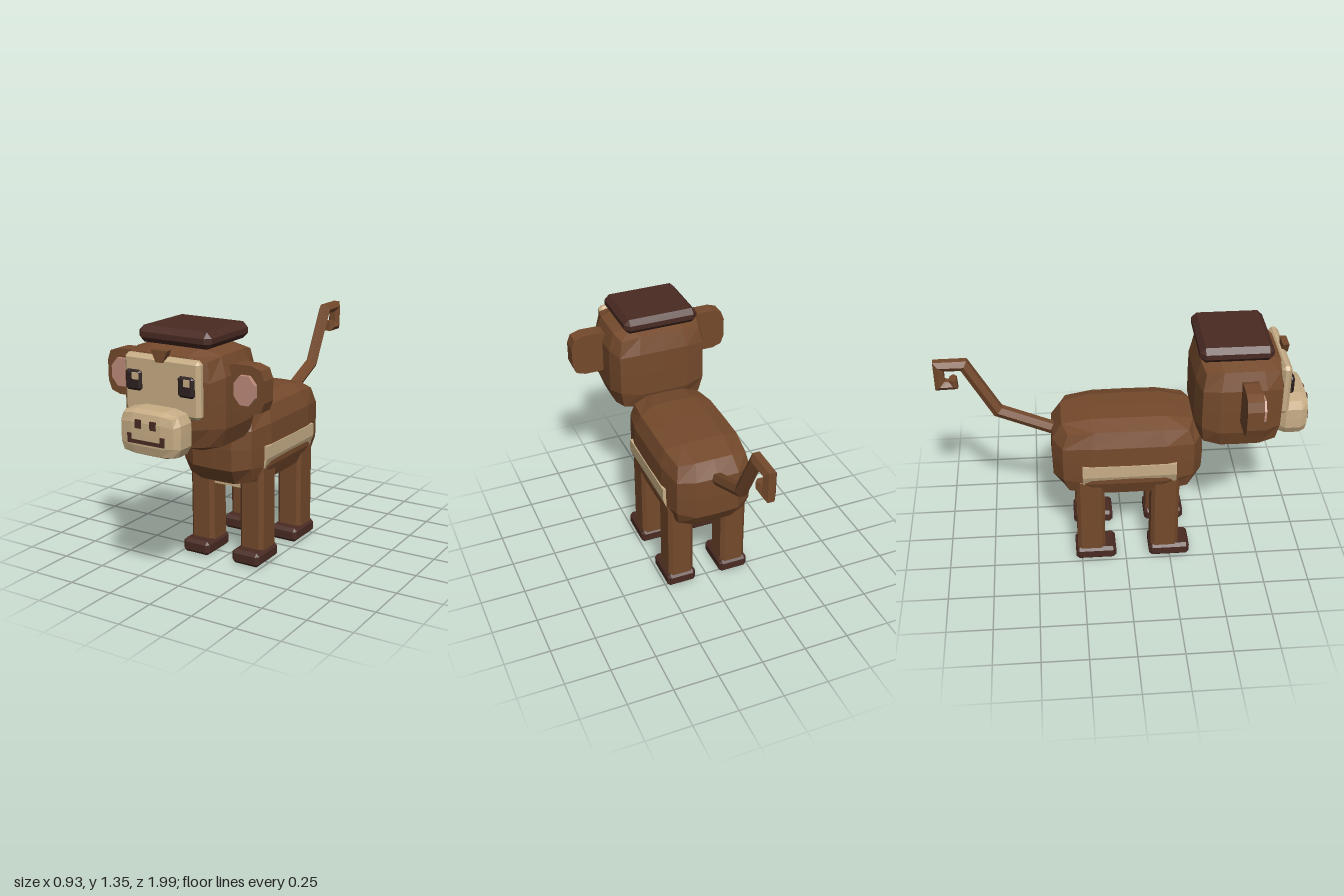
import * as THREE from 'three';
import { ConvexGeometry } from 'three/addons/geometries/ConvexGeometry.js';

const mat = (name, color) => {
  const m = new THREE.MeshStandardMaterial({ color });
  m.name = name;
  return m;
};

// Facet a geometry so every polygon is flat
function flat(geo) {
  const g = geo.index ? geo.toNonIndexed() : geo;
  g.computeVertexNormals();
  return g;
}

// Box inflated into a faceted superellipsoid with exponent k
function softBox(w, h, d, k) {
  const g = new THREE.BoxGeometry(2, 2, 2, 4, 4, 4);
  const p = g.attributes.position;
  for (let i = 0; i < p.count; i++) {
    const v = [p.getX(i), p.getY(i), p.getZ(i)];
    const n = Math.pow(v.reduce((s, c) => s + Math.abs(c) ** k, 0), 1 / k);
    p.setXYZ(i, v[0] / n * w / 2, v[1] / n * h / 2, v[2] / n * d / 2);
  }
  return flat(g);
}

// Box with all edges cut by c
function chamferBox(w, h, d, c) {
  const pts = [], [x, y, z] = [w / 2, h / 2, d / 2];
  for (const a of [-1, 1]) for (const b of [-1, 1]) for (const e of [-1, 1]) {
    pts.push(new THREE.Vector3(a * x, b * (y - c), e * (z - c)),
      new THREE.Vector3(a * (x - c), b * y, e * (z - c)),
      new THREE.Vector3(a * (x - c), b * (y - c), e * z));
  }
  return new ConvexGeometry(pts);
}

// Prism along z, centred on z = 0
function prism(points, depth) {
  const shape = new THREE.Shape(points.map(([x, y]) => new THREE.Vector2(x, y)));
  return new THREE.ExtrudeGeometry(shape, { depth, bevelEnabled: false }).translate(0, 0, -depth / 2);
}

// Six-sided mitred tube through [z, y, radius] points
function tailGeometry(path) {
  const pos = [], idx = [], n = 6;
  const dir = (a, b) => new THREE.Vector2(b[0] - a[0], b[1] - a[1]).normalize();
  path.forEach((p, i) => {
    const d1 = dir(path[Math.max(i - 1, 0)], path[Math.max(i, 1)]);
    const d2 = i < path.length - 1 ? dir(p, path[i + 1]) : d1;
    const t = d1.clone().add(d2).normalize();
    const miter = 1 / t.dot(d1);
    for (let j = 0; j < n; j++) {
      const a = j / n * Math.PI * 2, s = Math.sin(a) * p[2] * miter;
      pos.push(Math.cos(a) * 0.036, p[1] + t.x * s, p[0] - t.y * s);
    }
  });
  for (let i = 0; i < path.length - 1; i++) for (let j = 0; j < n; j++) {
    const a = i * n + j, b = i * n + (j + 1) % n;
    idx.push(a, a + n, b, b, a + n, b + n);
  }
  const e = (path.length - 1) * n;
  for (let j = 1; j < n - 1; j++) idx.push(0, j, j + 1, e, e + j + 1, e + j);
  const g = new THREE.BufferGeometry();
  g.setAttribute('position', new THREE.Float32BufferAttribute(pos, 3));
  // Orient faces outward: the ring order winds by the sign of the first face
  const va = new THREE.Vector3(...pos.slice(0, 3));
  const ab = new THREE.Vector3(...pos.slice(n * 3, n * 3 + 3)).sub(va);
  const ac = new THREE.Vector3(...pos.slice(3, 6)).sub(va);
  if (ab.cross(ac).x < 0) for (let i = 0; i < idx.length; i += 3) [idx[i], idx[i + 1]] = [idx[i + 1], idx[i]];
  // Caps are wound against the sides' convention only when seen from outside
  g.setIndex(idx);
  return flat(g);
}

export function createModel() {
  const group = new THREE.Group();
  const fur = mat('brown fur', 0x754a2c);
  const cream = mat('cream skin', 0xc8ae86);
  const dark = mat('dark brown', 0x4a2b23);
  const black = mat('eye black', 0x2e2020);
  const pink = mat('inner ear pink', 0xbe8c7b);

  const add = (name, geo, m, x = 0, y = 0, z = 0) => {
    const mesh = new THREE.Mesh(geo, m);
    mesh.name = name;
    mesh.position.set(x, y, z);
    group.add(mesh);
    return mesh;
  };

  // Torso and belly band
  add('body', softBox(0.49, 0.475, 0.83, 4.5), fur, 0, 0.667, 0.015);
  add('belly', prism([[-0.25, 0.67], [-0.25, 0.6], [-0.2, 0.46], [-0.1, 0.41],
    [0.1, 0.41], [0.2, 0.46], [0.25, 0.6], [0.25, 0.67]], 0.51), cream, 0, 0, 0.018);

  // Legs and feet
  for (const s of [-1, 1]) {
    for (const [name, z, footZ] of [['front', 0.218, 0.247], ['back', -0.195, -0.17]]) {
      add(name + 'Leg', chamferBox(0.145, 0.53, 0.155, 0.02), fur, s * 0.157, 0.305, z);
      add(name + 'Foot', chamferBox(0.168, 0.08, 0.228, 0.018), dark, s * 0.158, 0.045, footZ);
    }
  }

  // Tail with curled tip
  add('tail', tailGeometry([[-0.33, 0.75, 0.036], [-0.675, 0.902, 0.035], [-0.835, 1.2, 0.033],
    [-0.968, 1.2, 0.031], [-0.968, 1.083, 0.03], [-0.897, 1.083, 0.026], [-0.897, 1.12, 0.022]]), fur);

  // Head, hair and face
  add('head', softBox(0.57, 0.52, 0.48, 5), fur, 0, 1.013, 0.605);
  add('hair', chamferBox(0.425, 0.084, 0.385, 0.028), dark, 0, 1.31, 0.572);
  add('facePlate', chamferBox(0.44, 0.29, 0.055, 0.018), cream, 0, 1.09, 0.835);
  add('forelock', prism([[-0.048, 1.27], [-0.02, 1.21], [0.02, 1.21], [0.048, 1.27]], 0.035), fur, 0, 0, 0.855);
  add('muzzle', softBox(0.35, 0.232, 0.175, 5), cream, 0, 0.88, 0.906);

  // Ears
  const earHalf = [[1, 0.45], [0.84, 0.86], [0.4, 1]];
  const earPts = [
    ...earHalf,
    ...earHalf.map(([a, b]) => [-a, b]).reverse(),
    ...earHalf.map(([a, b]) => [-a, -b]),
    ...earHalf.map(([a, b]) => [a, -b]).reverse(),
  ].map(([a, b]) => [a * 0.119, b * 0.121]);
  const innerEar = new THREE.CylinderGeometry(1, 1, 0.025, 8);
  innerEar.rotateY(Math.PI / 8).rotateX(Math.PI / 2).scale(0.065, 0.079, 1);
  const innerEarFlat = flat(innerEar);

  for (const s of [-1, 1]) {
    add('ear', prism(earPts, 0.085), fur, s * 0.346, 1.08, 0.633);
    add('innerEar', innerEarFlat, pink, s * 0.366, 1.081, 0.684);
    // Eyes, with both glints on the same side
    add('eye', chamferBox(0.092, 0.102, 0.03, 0.012), black, s * 0.153, 1.108, 0.869);
    add('eyeGlint', new THREE.BoxGeometry(0.034, 0.034, 0.008), cream, s * 0.15 + 0.016, 1.132, 0.886);
    // Nostrils and mouth corners
    add('nostril', new THREE.BoxGeometry(0.034, 0.042, 0.02), dark, s * 0.043, 0.931, 0.988);
    add('mouthCorner', new THREE.BoxGeometry(0.022, 0.03, 0.02), dark, s * 0.095, 0.866, 0.988);
  }
  add('mouth', new THREE.BoxGeometry(0.212, 0.018, 0.02), dark, 0, 0.843, 0.988);

  return group;
}
